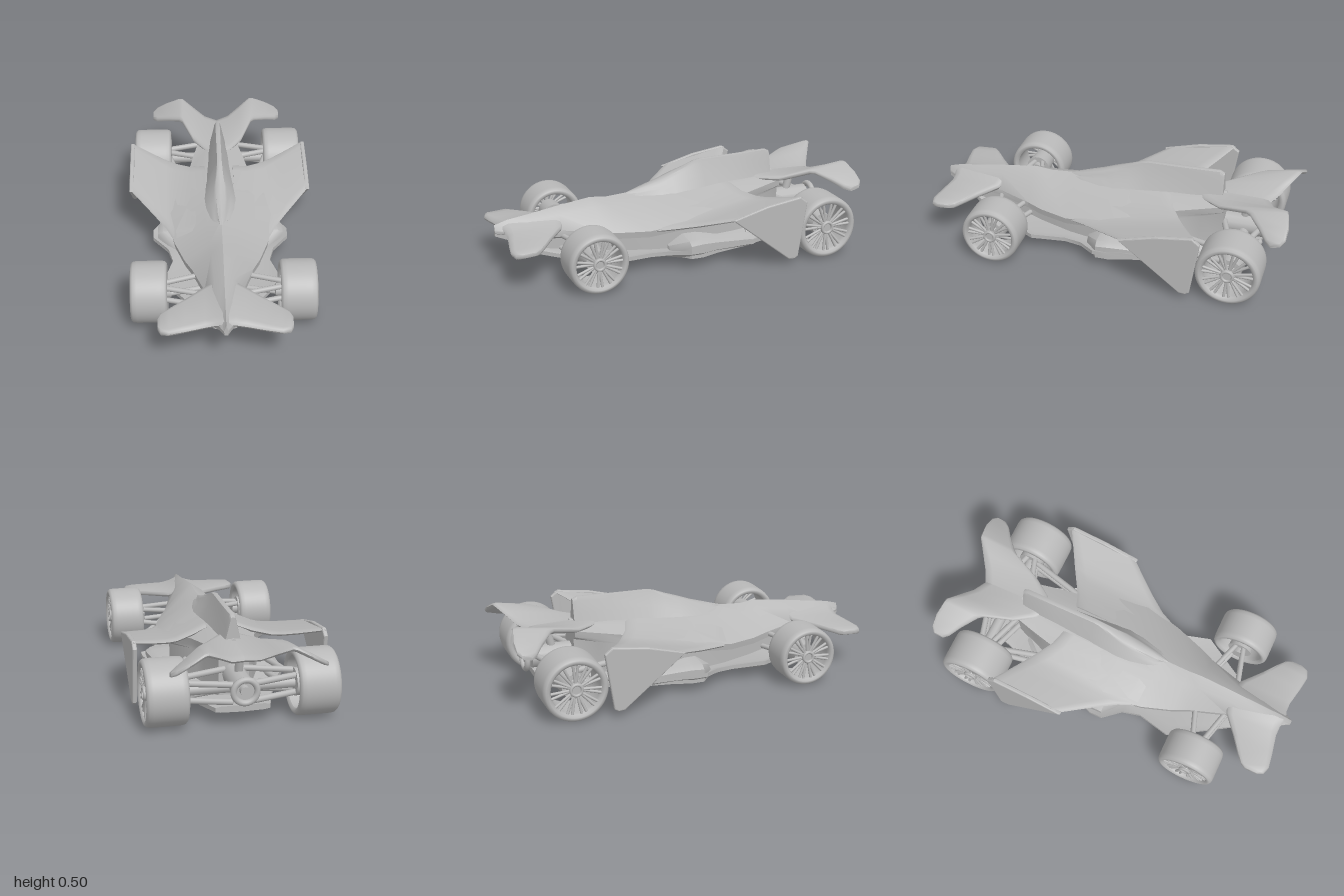
import * as THREE from 'three';
import { toCreasedNormals } from 'three/addons/utils/BufferGeometryUtils.js';

const V = (x, y, z) => new THREE.Vector3(x, y, z);

export function createModel() {
  const grey = new THREE.MeshStandardMaterial({ color: 0xb8b8b8 });
  grey.name = 'plain grey';
  const model = new THREE.Group();
  model.name = 'racingCar';

  const add = (name, geometry, parent = model) => {
    const mesh = new THREE.Mesh(geometry, grey);
    mesh.name = name;
    parent.add(mesh);
    return mesh;
  };

  // Skin over closed rings with capped ends, turned outward by its signed volume
  const loft = (rings, crease = 0.7) => {
    const n = rings[0].length, tris = [];
    for (let i = 0; i < rings.length - 1; i++) {
      for (let j = 0; j < n; j++) {
        const k = (j + 1) % n;
        const a = rings[i][j], b = rings[i][k], c = rings[i + 1][k], d = rings[i + 1][j];
        tris.push([a, b, c], [a, c, d]);
      }
    }
    for (const [ring, flip] of [[rings[0], true], [rings[rings.length - 1], false]]) {
      const mid = V(0, 0, 0);
      ring.forEach(p => mid.addScaledVector(p, 1 / n));
      ring.forEach((p, j) => {
        const q = ring[(j + 1) % n];
        tris.push(flip ? [mid, q, p] : [mid, p, q]);
      });
    }
    let volume = 0;
    for (const [a, b, c] of tris) volume += a.dot(V(0, 0, 0).crossVectors(b, c));
    const pts = tris.flatMap(t => (volume < 0 ? [t[0], t[2], t[1]] : t));
    const geometry = new THREE.BufferGeometry().setFromPoints(pts);
    return toCreasedNormals(geometry, crease);
  };

  // Ring from the half outline, running top centre to bottom centre
  const mirrorRing = (half, z) => {
    const right = half.map(([x, y]) => V(x, y, z));
    const left = half.slice(1, -1).reverse().map(([x, y]) => V(-x, y, z));
    return [...right, ...left];
  };

  // Wing blade: stations along x are [x, front z, front y, back z, back y, thickness]
  const blade = (stations, s) => loft(stations.map(([x, zf, yf, zb, yb, t]) => {
    const p = (u, h) => V(s * x, yf + (yb - yf) * u + h * t / 2, zf + (zb - zf) * u);
    return [p(0, 0), p(0.03, 0.7), p(0.12, 1), p(0.88, 1), p(0.97, 0.7),
      p(1, 0), p(0.97, -0.7), p(0.88, -1), p(0.12, -1), p(0.03, -0.7)];
  }), 0.9);

  const rod = (name, a, b, r, parent = model) => {
    const mesh = add(name, new THREE.CylinderGeometry(r, r, a.distanceTo(b), 12), parent);
    mesh.position.copy(a).add(b).multiplyScalar(0.5);
    mesh.quaternion.setFromUnitVectors(V(0, 1, 0), b.clone().sub(a).normalize());
    return mesh;
  };

  // Main body: z, ridge y, shoulder x y, edge x y, belly x y
  const bodyStations = [
    [1.0, 0.275, 0.008, 0.25, 0.012, 0.24, 0.008, 0.215],
    [0.93, 0.295, 0.02, 0.27, 0.05, 0.24, 0.03, 0.19],
    [0.82, 0.31, 0.03, 0.285, 0.08, 0.235, 0.05, 0.115],
    [0.66, 0.335, 0.05, 0.30, 0.10, 0.23, 0.07, 0.085],
    [0.47, 0.36, 0.06, 0.325, 0.16, 0.215, 0.10, 0.06],
    [0.38, 0.35, 0.07, 0.32, 0.20, 0.21, 0.13, 0.055],
    [0.22, 0.36, 0.08, 0.325, 0.255, 0.215, 0.18, 0.055],
    [0.0, 0.37, 0.10, 0.34, 0.30, 0.25, 0.22, 0.055],
    [-0.17, 0.375, 0.10, 0.345, 0.28, 0.28, 0.25, 0.06],
    [-0.36, 0.38, 0.09, 0.355, 0.17, 0.315, 0.19, 0.06],
    [-0.5, 0.385, 0.07, 0.36, 0.14, 0.335, 0.13, 0.065],
    [-0.62, 0.385, 0.05, 0.365, 0.11, 0.35, 0.08, 0.09],
  ];
  add('body', loft(bodyStations.map(([z, yt, xm, ym, xe, ye, xb, yb]) => {
    const drop = Math.min(0.035, (ye - yb) * 0.3);
    return mirrorRing([[0, yt], [xm, ym], [xe, ye], [xe * 0.98, ye - drop],
      [Math.min(xb, xe), ye - drop * 1.5], [xb, yb], [0, yb]], z);
  })));

  // Cockpit canopy flowing into the tall fin: z, top y, top half width, base half width, base y
  const finStations = [
    [0.27, 0.355, 0.008, 0.02, 0.33], [0.2, 0.375, 0.025, 0.055, 0.33],
    [0.08, 0.41, 0.035, 0.085, 0.33], [0.0, 0.44, 0.035, 0.095, 0.33],
    [-0.08, 0.468, 0.025, 0.09, 0.33], [-0.14, 0.492, 0.02, 0.085, 0.33],
    [-0.18, 0.5, 0.018, 0.08, 0.33], [-0.4, 0.503, 0.018, 0.065, 0.34],
    [-0.575, 0.508, 0.018, 0.05, 0.35], [-0.6, 0.495, 0.014, 0.045, 0.35],
  ];
  add('cockpitFin', loft(finStations.map(([z, yt, xt, xb, yb]) => mirrorRing(
    [[0, yt], [xt * 0.7, yt - 0.004], [xt, yt - 0.02], [(xt + xb) * 0.45, (yt + yb) * 0.5],
      [xb, yb], [0, yb]], z)), 0.9));

  // Underfloor with lifted edges: z, half width, bottom y
  const floorStations = [
    [0.82, 0.06, 0.105], [0.66, 0.15, 0.08], [0.5, 0.25, 0.06], [0.4, 0.31, 0.052],
    [0.22, 0.265, 0.047], [0.12, 0.29, 0.045], [0.03, 0.375, 0.045], [-0.04, 0.375, 0.044],
    [-0.12, 0.34, 0.044], [-0.35, 0.33, 0.044], [-0.45, 0.27, 0.046], [-0.62, 0.2, 0.05],
    [-0.82, 0.14, 0.075],
  ];
  add('floor', loft(floorStations.map(([z, w, y]) => {
    const lift = Math.max(0, w - 0.2) * 0.25;
    return mirrorRing([[0, y + 0.035], [w * 0.8, y + 0.035], [w, y + lift + 0.03],
      [w, y + lift + 0.008], [w * 0.8, y + 0.003], [0, y]], z);
  })));

  // Rear gearbox and exhaust
  rod('gearbox', V(0, 0.2, -0.5), V(0, 0.2, -0.84), 0.06);
  const exhaust = add('exhaustRing', new THREE.TorusGeometry(0.06, 0.016, 12, 32));
  exhaust.position.set(0, 0.2, -0.87);
  rod('exhaustCore', V(0, 0.2, -0.8), V(0, 0.2, -0.875), 0.025);
  rod('wingPylon', V(0, 0.24, -0.72), V(0, 0.36, -0.75), 0.022);

  // Tyre, rim barrel, hub and spokes; s is the side facing outward
  const addWheel = (name, s, z, r, x0, x1) => {
    const wheel = new THREE.Group();
    wheel.name = name;
    wheel.position.set(s * (x0 + x1) / 2, r + 0.004, z);
    wheel.rotation.z = -s * Math.PI / 2;
    model.add(wheel);
    const h = (x1 - x0) / 2, ri = r * 0.78;
    const profile = [[ri, -h + 0.012], [r * 0.85, -h], [r * 0.93, -h + 0.003], [r * 0.985, -h + 0.014],
      [r, -h + 0.035], [r, h - 0.035], [r * 0.985, h - 0.014], [r * 0.93, h - 0.003],
      [r * 0.85, h], [ri, h - 0.012], [ri * 0.97, h - 0.03], [ri * 0.97, -h + 0.03], [ri, -h + 0.012]];
    add('tyre', new THREE.LatheGeometry(profile.map(p => new THREE.Vector2(...p)), 56), wheel);
    const hub = add('hub', new THREE.CylinderGeometry(r * 0.2, r * 0.26, 0.04, 24), wheel);
    hub.position.y = h - 0.03;
    const cap = add('hubCap', new THREE.TorusGeometry(r * 0.17, 0.008, 8, 24), wheel);
    cap.rotation.x = Math.PI / 2;
    cap.position.y = h - 0.01;
    for (let i = 0; i < 11; i++) {
      for (const d of [-0.1, 0.1]) {
        const a = i / 11 * Math.PI * 2;
        rod('spoke', V(Math.cos(a + d * 0.7) * r * 0.2, h - 0.025, Math.sin(a + d * 0.7) * r * 0.2),
          V(Math.cos(a + d) * ri, h - 0.018, Math.sin(a + d) * ri), 0.0075, wheel);
      }
    }
    const brake = add('brakeDrum', new THREE.CylinderGeometry(r * 0.36, r * 0.42, h * 1.3, 24), wheel);
    brake.position.y = -h * 0.25;
  };

  for (const s of [1, -1]) {
    const side = s > 0 ? 'left' : 'right';

    // Front wing
    add(side + 'FrontWing', blade([
      [0, 0.97, 0.255, 0.62, 0.29, 0.05], [0.05, 0.955, 0.24, 0.64, 0.265, 0.045],
      [0.1, 0.955, 0.23, 0.66, 0.245, 0.04], [0.2, 0.975, 0.222, 0.745, 0.235, 0.036],
      [0.28, 0.988, 0.216, 0.805, 0.226, 0.034], [0.32, 0.975, 0.213, 0.84, 0.221, 0.034],
      [0.335, 0.945, 0.215, 0.87, 0.219, 0.02],
    ], s));

    // Swept side wing and its hanging end plate
    add(side + 'SideWing', blade([
      [0.08, 0.22, 0.30, -0.33, 0.36, 0.03], [0.16, 0.22, 0.265, -0.36, 0.335, 0.03],
      [0.25, 0.21, 0.21, -0.415, 0.325, 0.028], [0.30, 0.1, 0.225, -0.445, 0.33, 0.026],
      [0.37, 0.0, 0.25, -0.485, 0.345, 0.026], [0.5, -0.165, 0.305, -0.56, 0.378, 0.022],
    ], s));
    const plate = new THREE.Shape([[0.16, 0.305], [0.35, 0.352], [0.54, 0.378], [0.575, 0.35],
      [0.53, 0.055], [0.515, 0.045], [0.485, 0.048]].map(p => new THREE.Vector2(...p)));
    const plateGeometry = new THREE.ExtrudeGeometry(plate, { depth: 0.01, bevelThickness: 0.007,
      bevelSize: 0.008, bevelSegments: 3 });
    const endPlate = add(side + 'EndPlate', plateGeometry);
    endPlate.rotation.y = Math.PI / 2;
    endPlate.position.x = s * 0.497 - 0.005;

    // Gull rear wing
    add(side + 'RearWing', blade([
      [0, -0.45, 0.365, -0.855, 0.355, 0.035], [0.07, -0.5, 0.36, -0.89, 0.365, 0.032],
      [0.14, -0.6, 0.365, -0.935, 0.405, 0.03], [0.205, -0.755, 0.405, -0.978, 0.44, 0.028],
      [0.225, -0.78, 0.404, -0.982, 0.437, 0.028], [0.3, -0.845, 0.372, -0.998, 0.4, 0.028],
      [0.36, -0.89, 0.345, -0.995, 0.368, 0.028], [0.385, -0.92, 0.338, -0.975, 0.353, 0.02],
    ], s));

    // Raised side pod step on the floor
    add(side + 'SidePod', loft([[0.1, 0.25, 0.1], [0.02, 0.35, 0.15], [-0.05, 0.35, 0.155],
      [-0.15, 0.32, 0.14], [-0.38, 0.28, 0.11], [-0.55, 0.15, 0.09]].map(([z, x, y]) => [
      V(s * 0.1, 0.06, z), V(s * x, 0.06, z), V(s * x, y - 0.02, z),
      V(s * (x - 0.03), y, z), V(s * 0.1, y + 0.02, z)])));

    // Front suspension
    for (const [y0, y1, z0, z1] of [[0.195, 0.2, 0.66, 0.59], [0.2, 0.2, 0.47, 0.56],
      [0.12, 0.125, 0.66, 0.59], [0.11, 0.125, 0.47, 0.56]]) {
      rod(side + 'FrontArm', V(s * 0.06, y0, z0), V(s * 0.33, y1, z1), 0.014);
    }
    rod(side + 'FrontAxle', V(s * 0.27, 0.165, 0.578), V(s * 0.46, 0.165, 0.578), 0.035);

    // Rear suspension
    for (const [x, y0, y1, z0, z1] of [[0.05, 0.23, 0.23, -0.62, -0.7], [0.05, 0.22, 0.22, -0.82, -0.75],
      [0.05, 0.12, 0.13, -0.62, -0.7], [0.05, 0.13, 0.13, -0.82, -0.75],
      [0.2, 0.2, 0.2, -0.36, -0.7], [0.22, 0.11, 0.13, -0.36, -0.7]]) {
      rod(side + 'RearArm', V(s * x, y0, z0), V(s * 0.29, y1, z1), 0.016);
    }
    rod(side + 'RearAxle', V(0, 0.176, -0.727), V(s * 0.46, 0.176, -0.727), 0.03);

    addWheel(side + 'FrontWheel', s, 0.578, 0.16, 0.29, 0.48);
    addWheel(side + 'RearWheel', s, -0.727, 0.172, 0.275, 0.49);
  }
  return model;
}
